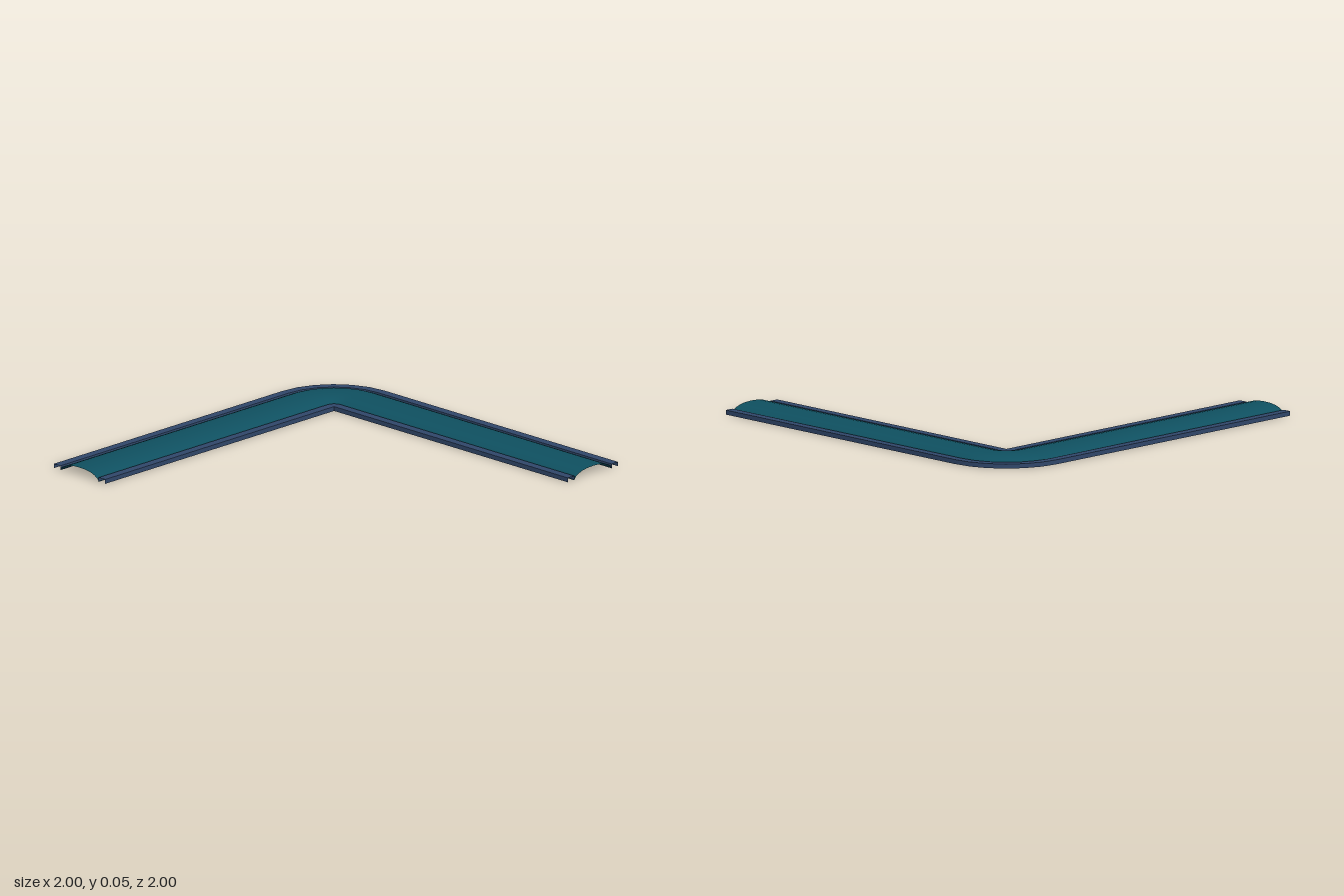
import * as THREE from 'three';

const CORNER = -0.64; // pivot of the bend, at the inner edge
const WIDTH = 0.36;
const BEND_STEPS = 6;

// Stations along the path: a pivot point and the outward direction of the cross-section
function makeStations() {
  const stations = [{ x: 1, z: CORNER, dx: 0, dz: -1 }];
  for (let i = 0; i <= BEND_STEPS; i++) {
    const a = (i / BEND_STEPS) * Math.PI / 2;
    stations.push({ x: CORNER, z: CORNER, dx: -Math.sin(a), dz: -Math.cos(a) });
  }
  stations.push({ x: CORNER, z: 1, dx: -1, dz: 0 });
  return stations;
}

// Sweeps an open profile of [distance from inner edge, height] along the stations
function sweep(profile, stations) {
  const positions = [], index = [], n = profile.length;
  for (const s of stations) {
    for (const [r, y] of profile) positions.push(s.x + s.dx * r, y, s.z + s.dz * r);
  }
  for (let i = 0; i < stations.length - 1; i++) {
    for (let j = 0; j < n - 1; j++) {
      const a = i * n + j, b = a + 1, c = a + n, d = c + 1;
      index.push(a, b, c, b, d, c);
    }
  }
  const geometry = new THREE.BufferGeometry();
  geometry.setAttribute('position', new THREE.Float32BufferAttribute(positions, 3));
  geometry.setIndex(index);
  geometry.computeVertexNormals();
  return geometry;
}

export function createModel() {
  const model = new THREE.Group();
  model.name = 'cornerStrip';
  const stations = makeStations();
  const surfaceMaterial = new THREE.MeshStandardMaterial({ color: 0x0f5060, side: THREE.DoubleSide });
  const edgeMaterial = new THREE.MeshStandardMaterial({ color: 0x30476a, side: THREE.DoubleSide });

  // Arched surface, open underneath
  const half = [[0.135, 0.002], [0.122, 0.018], [0.104, 0.028], [0.08, 0.037], [0.045, 0.043]];
  const mid = WIDTH / 2;
  const arch = [
    ...half.map(([o, y]) => [mid - o, y]),
    [mid, 0.045],
    ...half.slice().reverse().map(([o, y]) => [mid + o, y]),
  ];
  const surface = new THREE.Mesh(sweep(arch, stations), surfaceMaterial);
  surface.name = 'archedSurface';
  model.add(surface);

  // Edge rails: open channels made of two walls and a flat top, with sharp corners
  const railWidth = 0.046, railTop = 0.023;
  for (const [name, r0] of [['innerRail', 0], ['outerRail', WIDTH - railWidth]]) {
    const rail = new THREE.Group();
    rail.name = name;
    const r1 = r0 + railWidth;
    const strips = {
      InnerWall: [[r0, 0], [r0, railTop]],
      Top: [[r0, railTop], [r1, railTop]],
      OuterWall: [[r1, railTop], [r1, 0]],
    };
    for (const [part, profile] of Object.entries(strips)) {
      const mesh = new THREE.Mesh(sweep(profile, stations), edgeMaterial);
      mesh.name = name + part;
      rail.add(mesh);
    }
    model.add(rail);
  }
  return model;
}
